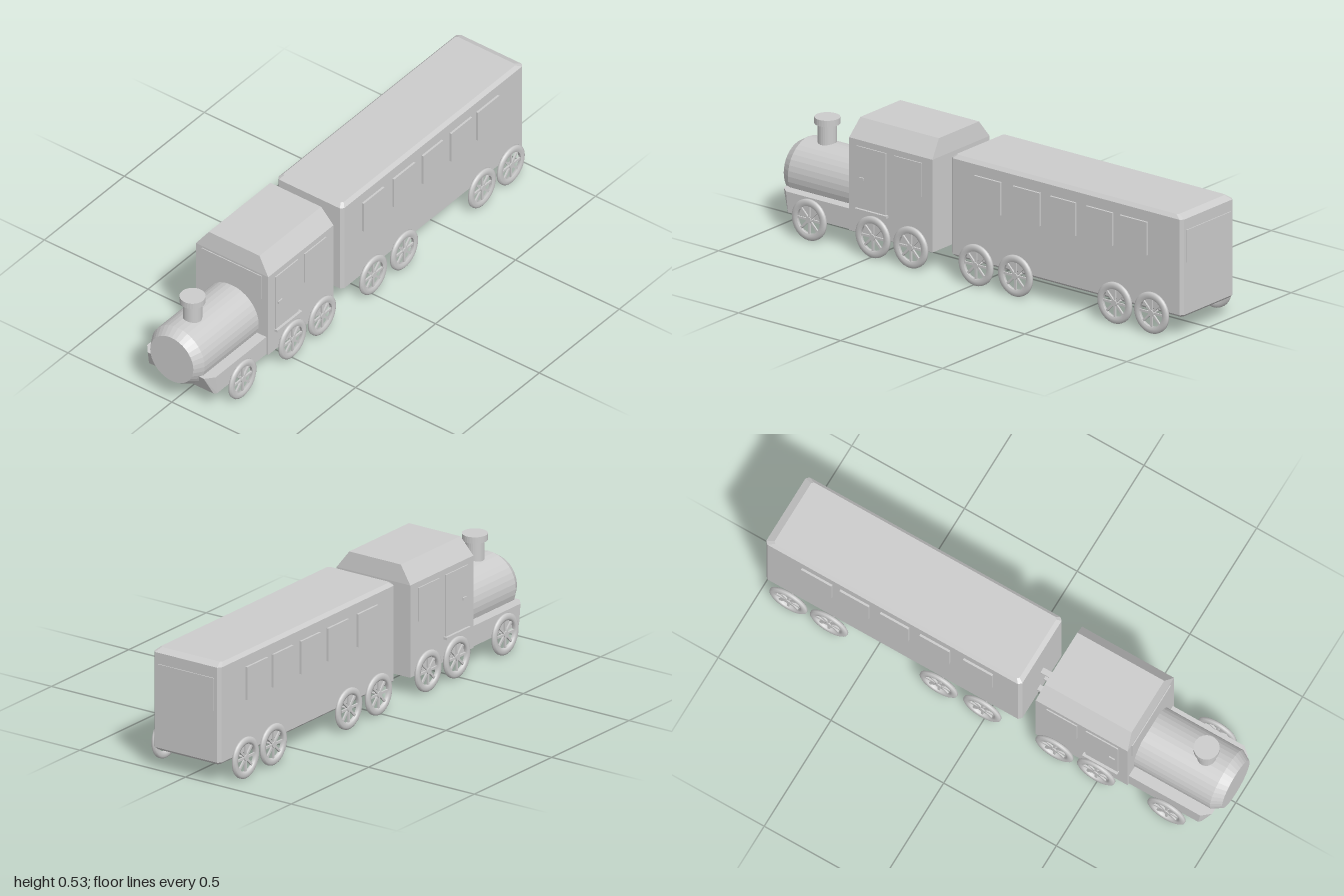
import * as THREE from 'three';
import { ConvexGeometry } from 'three/addons/geometries/ConvexGeometry.js';

const flat = new THREE.MeshStandardMaterial({ color: 0xcccccc, flatShading: true });
const smooth = new THREE.MeshStandardMaterial({ color: 0xcccccc });

function add(parent, name, geometry, x = 0, y = 0, z = 0, material = flat) {
  const mesh = new THREE.Mesh(geometry, material);
  mesh.name = name;
  mesh.position.set(x, y, z);
  parent.add(mesh);
  return mesh;
}

// box given by its limits
function block(parent, name, x0, x1, y0, y1, z0, z1) {
  return add(parent, name, new THREE.BoxGeometry(x1 - x0, y1 - y0, z1 - z0),
    (x0 + x1) / 2, (y0 + y1) / 2, (z0 + z1) / 2);
}

// convex solid from horizontal outlines; each ring is [y, [[x, z], ...]], mirrored in x
function hull(rings) {
  const points = [];
  for (const [y, outline] of rings)
    for (const [x, z] of outline)
      points.push(new THREE.Vector3(x, y, z), new THREE.Vector3(-x, y, z));
  return new ConvexGeometry(points);
}

// spoked wheel with its axis along x
function createWheel() {
  const wheel = new THREE.Group();
  wheel.name = 'wheel';
  const profile = [[0.056, -0.006], [0.064, -0.009], [0.075, -0.009], [0.083, -0.004],
    [0.083, 0.004], [0.075, 0.009], [0.064, 0.009], [0.056, 0.006], [0.056, -0.006]]
    .map(([r, h]) => new THREE.Vector2(r, h));
  add(wheel, 'rim', new THREE.LatheGeometry(profile, 32), 0, 0, 0, smooth).rotation.z = Math.PI / 2;
  add(wheel, 'hub', new THREE.CylinderGeometry(0.013, 0.013, 0.015, 16)).rotation.z = Math.PI / 2;
  for (let i = 0; i < 4; i++)
    add(wheel, 'spokePair', new THREE.BoxGeometry(0.007, 0.118, 0.009)).rotation.x = i * Math.PI / 4;
  return wheel;
}

function addWheelset(parent, z) {
  const set = new THREE.Group();
  set.name = 'wheelset';
  set.position.set(0, 0.085, z);
  add(set, 'axle', new THREE.CylinderGeometry(0.005, 0.005, 0.38, 10)).rotation.z = Math.PI / 2;
  for (const side of [-1, 1]) {
    const wheel = createWheel();
    wheel.position.x = side * 0.19;
    set.add(wheel);
  }
  parent.add(set);
}

function createLocomotive() {
  const loco = new THREE.Group();
  loco.name = 'locomotive';

  // running board with a nose that slopes back towards the rails
  add(loco, 'footplate', hull([
    [0.08, [[0.165, 0.62], [0.165, 0.93], [0.155, 0.94]]],
    [0.163, [[0.165, 0.62], [0.165, 0.94], [0.135, 0.975]]],
  ]));

  // boiler with bevelled front
  const boiler = [[0, 0.6], [0.128, 0.6], [0.128, 0.96], [0.104, 1], [0, 1]]
    .map(([r, h]) => new THREE.Vector2(r, h));
  add(loco, 'boiler', new THREE.LatheGeometry(boiler, 36), 0, 0.208, 0).rotation.x = Math.PI / 2;

  // chimney
  add(loco, 'chimneyPipe', new THREE.CylinderGeometry(0.037, 0.037, 0.13, 28), 0, 0.355, 0.87);
  add(loco, 'chimneyCap', new THREE.CylinderGeometry(0.05, 0.05, 0.026, 28), 0, 0.423, 0.87);

  // cab and hipped roof
  block(loco, 'cab', -0.174, 0.174, 0.08, 0.456, 0.215, 0.623);
  add(loco, 'roof', hull([
    [0.456, [[0.174, 0.215], [0.174, 0.623]]],
    [0.527, [[0.122, 0.225], [0.122, 0.61]]],
  ]));
  block(loco, 'windscreen', -0.144, 0.144, 0.338, 0.448, 0.618, 0.627);

  // doors, side windows, handles and steps
  for (const side of [-1, 1]) {
    const sidePart = (name, reach, y0, y1, z0, z1) =>
      block(loco, name, Math.min(side * 0.165, side * reach), Math.max(side * 0.165, side * reach), y0, y1, z0, z1);
    sidePart('door', 0.179, 0.18, 0.432, 0.44, 0.582);
    sidePart('cabWindow', 0.179, 0.295, 0.432, 0.265, 0.4);
    sidePart('doorHandle', 0.184, 0.298, 0.309, 0.545, 0.57);
    sidePart('doorStep', 0.19, 0.172, 0.182, 0.43, 0.585);
  }

  for (const z of [0.805, 0.493, 0.308]) addWheelset(loco, z);
  return loco;
}

function createCoach() {
  const coach = new THREE.Group();
  coach.name = 'coach';

  // body with bevelled edges
  const ring = (w, z0, z1, c) => [[w - c, z0], [w, z0 + c], [w, z1 - c], [w - c, z1]];
  add(coach, 'coachBody', hull([
    [0.08, ring(0.147, -0.985, 0.128, 0.008)],
    [0.091, ring(0.159, -0.996, 0.14, 0.012)],
    [0.478, ring(0.159, -0.996, 0.14, 0.012)],
    [0.492, ring(0.145, -0.965, 0.122, 0.008)],
  ]));

  // row of side windows and rear window
  const spans = [[-0.112, 0.018], [-0.305, -0.172], [-0.48, -0.354], [-0.66, -0.53], [-0.83, -0.695]];
  for (const [z0, z1] of spans)
    for (const side of [-1, 1])
      add(coach, 'coachWindow', new THREE.BoxGeometry(0.016, 0.134, z1 - z0), side * 0.16, 0.368, (z0 + z1) / 2);
  block(coach, 'rearWindow', -0.133, 0.133, 0.3, 0.433, -1, -0.99);

  for (const z of [-0.012, -0.205, -0.692, -0.872]) addWheelset(coach, z);
  return coach;
}

export function createModel() {
  const train = new THREE.Group();
  train.name = 'train';
  train.add(createLocomotive(), createCoach());

  // coupling bars between the vehicles
  for (const side of [-1, 1])
    block(train, 'couplingBar', side * 0.025 - 0.012, side * 0.025 + 0.012, 0.135, 0.148, 0.12, 0.23);
  block(train, 'upperCoupling', -0.012, 0.012, 0.272, 0.279, 0.12, 0.23);
  return train;
}
